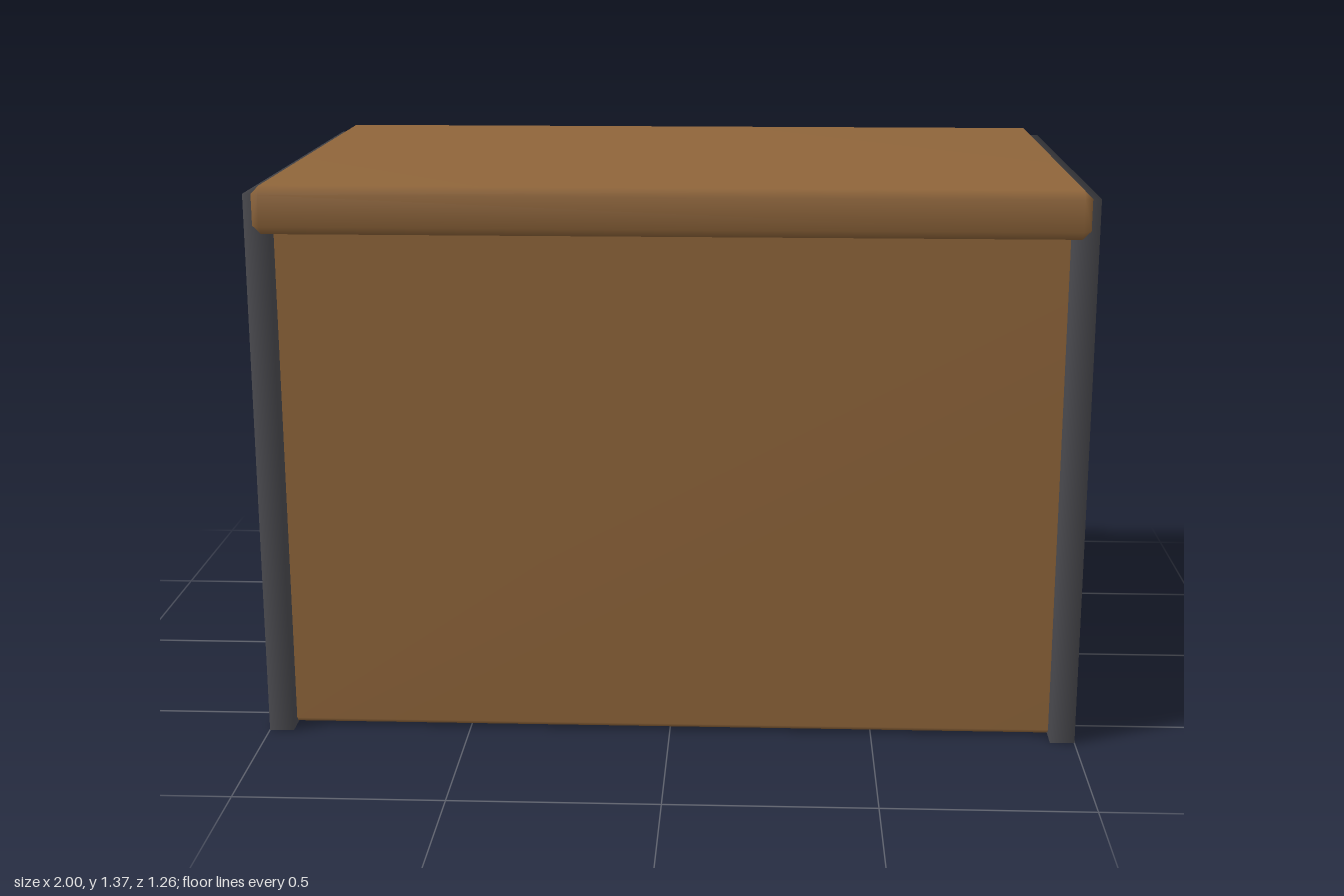
import * as THREE from 'three';
import { mergeVertices } from 'three/addons/utils/BufferGeometryUtils.js';
import { ConvexGeometry } from 'three/addons/geometries/ConvexGeometry.js';

// Weld all corners and average the normals for soft shading
function soften(geometry) {
  geometry.deleteAttribute('normal');
  geometry.deleteAttribute('uv');
  const welded = mergeVertices(geometry, 1e-4);
  welded.computeVertexNormals();
  return welded;
}

// Box with every edge cut back by b
function chamferedBox(w, h, d, b) {
  const points = [];
  for (const sx of [-1, 1]) for (const sy of [-1, 1]) for (const sz of [-1, 1]) {
    for (let axis = 0; axis < 3; axis++) {
      const half = [w / 2, h / 2, d / 2].map((v, i) => (i === axis ? v : v - b));
      points.push(new THREE.Vector3(sx * half[0], sy * half[1], sz * half[2]));
    }
  }
  return soften(new ConvexGeometry(points));
}

export function createModel() {
  const wood = new THREE.MeshStandardMaterial({ color: 0x8f653a });
  wood.name = 'brown wood';
  const metal = new THREE.MeshStandardMaterial({ color: 0x4a4a4f });
  metal.name = 'dark metal';

  const model = new THREE.Group();
  model.name = 'chest';
  const add = (name, geometry, material, x, y, z) => {
    const mesh = new THREE.Mesh(geometry, material);
    mesh.name = name;
    mesh.position.set(x, y, z);
    model.add(mesh);
  };

  // Wooden body, recessed between the side panels
  add('body', chamferedBox(1.9, 1.295, 1.13, 0.012), wood, 0, 0.6525, 0.005);

  // Lid overhanging the front and back
  add('lid', chamferedBox(1.96, 0.115, 1.24, 0.02), wood, 0, 1.3125, 0.01);

  // Side panels
  for (const side of [-1, 1]) {
    add(side > 0 ? 'leftPanel' : 'rightPanel',
      soften(new THREE.BoxGeometry(0.06, 1.35, 1.2)), metal, side * 0.97, 0.675, 0.01);
  }

  // Latch plate on the back
  add('latch', soften(new THREE.BoxGeometry(0.21, 0.25, 0.09)), metal, 0, 1.055, -0.585);

  return model;
}
